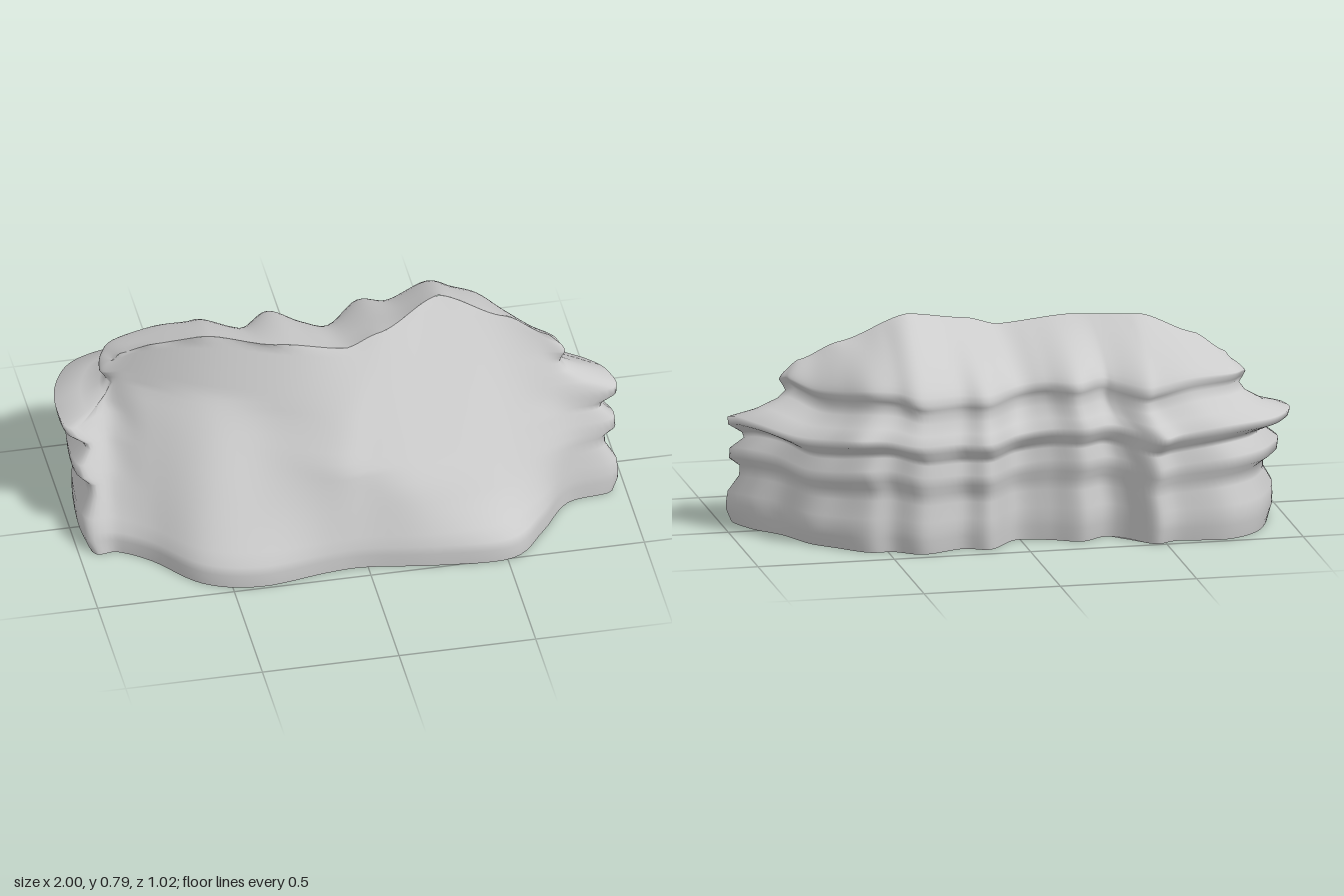
import * as THREE from 'three';

// Ridge line: x, y, z
const RIDGE = [
  [-0.82, 0.57, -0.18], [-0.78, 0.62, -0.17], [-0.68, 0.68, -0.12], [-0.5, 0.74, -0.05],
  [-0.25, 0.73, 0.04], [0, 0.70, 0.07], [0.12, 0.735, 0.05], [0.36, 0.79, -0.06],
  [0.6, 0.69, -0.02], [0.74, 0.62, 0.02], [0.8, 0.57, 0.03],
];

// Ledged strands round the ends and back: foot x, z / cap rim x, z / ridge x
const LEDGES = [
  [-0.95, 0.16, -0.83, -0.18, -0.8], [-0.95, -0.1, -0.84, -0.21, -0.8],
  [-0.91, -0.28, -0.82, -0.26, -0.8], [-0.84, -0.41, -0.77, -0.32, -0.75],
  [-0.72, -0.48, -0.62, -0.37, -0.62], [-0.55, -0.46, -0.5, -0.39, -0.5],
  [-0.46, -0.49, -0.44, -0.4, -0.44], [-0.37, -0.38, -0.35, -0.32, -0.35],
  [-0.3, -0.35, -0.3, -0.3, -0.3], [-0.21, -0.4, -0.2, -0.38, -0.2],
  [-0.1, -0.35, -0.1, -0.3, -0.1], [0.02, -0.33, 0, -0.28, 0],
  [0.13, -0.44, 0.13, -0.41, 0.13], [0.23, -0.41, 0.23, -0.38, 0.23],
  [0.38, -0.46, 0.38, -0.44, 0.36], [0.48, -0.4, 0.46, -0.38, 0.45],
  [0.57, -0.39, 0.55, -0.33, 0.52], [0.67, -0.3, 0.63, -0.22, 0.6],
  [0.75, -0.22, 0.7, -0.12, 0.68], [0.82, -0.08, 0.76, -0.04, 0.74],
  [0.91, 0.03, 0.78, 0, 0.78], [0.95, 0.17, 0.79, 0.04, 0.78],
];

// Sloping front strands: foot x, z / bend x, y, z / ridge x
const SLOPES = [
  [0.78, 0.21, 0.8, 0.25, 0.17, 0.7], [0.66, 0.36, 0.62, 0.2, 0.29, 0.58],
  [0.52, 0.5, 0.46, 0.15, 0.42, 0.44], [0.25, 0.49, 0.2, 0.28, 0.38, 0.3],
  [0, 0.45, 0.03, 0.34, 0.35, 0.15], [-0.15, 0.455, -0.1, 0.37, 0.34, 0.03],
  [-0.4, 0.49, -0.3, 0.47, 0.15, -0.18], [-0.6, 0.43, -0.5, 0.54, 0.03, -0.42],
  [-0.75, 0.26, -0.7, 0.51, -0.08, -0.6], [-0.86, 0.18, -0.83, 0.45, -0.15, -0.72],
];

// Strata: height, blend from foot outline to cap outline, outward bulge
const STRATA = [
  [0, 0, 0], [0.05, 0, 0.012], [0.08, 0, 0.012], [0.12, 0, 0.01], [0.18, 0.02, -0.01],
  [0.22, 0.05, -0.008], [0.25, 0.06, 0.02], [0.29, 0.1, 0.025], [0.33, 0.18, -0.002],
  [0.35, 0.22, 0.01], [0.38, 0.26, 0.06], [0.41, 0.34, 0.075], [0.44, 0.62, 0.03],
  [0.48, 0.85, -0.005], [0.51, 0.95, -0.015], [0.53, 1, 0], [0.55, 1, 0.01],
];
const CAP_STEPS = 10;
const PER_STRAND = 6;
const mix = THREE.MathUtils.lerp;

// Smooth ridge point at a given x
function ridge(x) {
  let i = 0;
  while (i < RIDGE.length - 2 && x > RIDGE[i + 1][0]) i++;
  const [a, b] = [RIDGE[i], RIDGE[i + 1]];
  const t = THREE.MathUtils.smoothstep(x, a[0], b[0]) * 0.6
    + THREE.MathUtils.clamp((x - a[0]) / (b[0] - a[0]), 0, 1) * 0.4;
  return new THREE.Vector3(x, mix(a[1], b[1], t), mix(a[2], b[2], t));
}

// Point on a stepped strand, below or above the cap rim
function ledgePoint([bx, bz, cx, cz, rx], [y, a, off], f) {
  const top = ridge(rx);
  const worn = 0.95 + 0.25 * Math.sin(bx * 13 + bz * 7 + y * 9);
  const out = new THREE.Vector2(bx, bz * 1.5).normalize()
    .multiplyScalar(off * worn * (0.6 + 0.95 * bx * bx));
  // The ends lean back evenly with height; the back stays upright
  const lean = mix(a, Math.min(1, y / 0.53), bx ** 4);
  const g = Math.pow(f, 1.5);
  const wave = 0.015 * Math.sin(bx * 9 + bz * 8) * Math.min(1, y / 0.3) * (1 - f);
  return new THREE.Vector3(
    mix(mix(bx, cx, a) + out.x, top.x, g),
    mix(y, top.y, f) + wave,
    mix(mix(bz, cz, lean) + out.y, top.z, g));
}

// Point on a front strand: upright foot, then bend, then ridge
function slopePoint([bx, bz, mx, my, mz, rx], stratum, f) {
  const top = ridge(rx);
  const y = mix(stratum[0], top.y, f);
  const path = [[bx, 0, bz], [bx, 0.07, bz], [mx, my, mz], [top.x, top.y, top.z]];
  let i = 0;
  while (i < 2 && y > path[i + 1][1]) i++;
  const [p, q] = [path[i], path[i + 1]];
  const t = (y - p[1]) / (q[1] - p[1]);
  return new THREE.Vector3(mix(p[0], q[0], t), y, mix(p[2], q[2], t));
}

// Closed smooth ring through all strands at one level
function ring(stratum, f) {
  const pts = [
    ...LEDGES.map((s) => ledgePoint(s, stratum, f)),
    ...SLOPES.map((s) => slopePoint(s, stratum, f)),
  ];
  const curve = new THREE.CatmullRomCurve3(pts, true, 'catmullrom', 0.5);
  const n = pts.length * PER_STRAND;
  return Array.from({ length: n }, (_, j) => {
    const p = curve.getPoint(j / n);
    if (f === 1) p.copy(ridge(p.x));
    if (stratum[0] === 0) p.y = 0;
    return p;
  });
}

function buildGeometry(points, index) {
  const geo = new THREE.BufferGeometry().setFromPoints(points);
  geo.setIndex(index);
  geo.computeVertexNormals();
  return geo;
}

export function createModel() {
  const group = new THREE.Group();
  group.name = 'rock';
  const material = new THREE.MeshStandardMaterial({ color: 0xcccccc });

  // Rock body: rings from the foot up to the ridge
  const rings = STRATA.map((s) => ring(s, 0));
  const rim = STRATA[STRATA.length - 1];
  for (let k = 1; k <= CAP_STEPS; k++) rings.push(ring(rim, k / CAP_STEPS));
  const n = rings[0].length;
  const index = [];
  for (let i = 0; i < rings.length - 1; i++) {
    for (let j = 0; j < n; j++) {
      const a = i * n + j, b = i * n + (j + 1) % n;
      index.push(a, a + n, b + n, a, b + n, b);
    }
  }
  const body = new THREE.Mesh(buildGeometry(rings.flat(), index), material);
  body.name = 'rockBody';
  group.add(body);

  // Flat underside
  const fan = [];
  for (let j = 0; j < n; j++) fan.push(n, j, (j + 1) % n);
  const base = new THREE.Mesh(buildGeometry([...rings[0], new THREE.Vector3()], fan), material);
  base.name = 'underside';
  group.add(base);

  return group;
}
